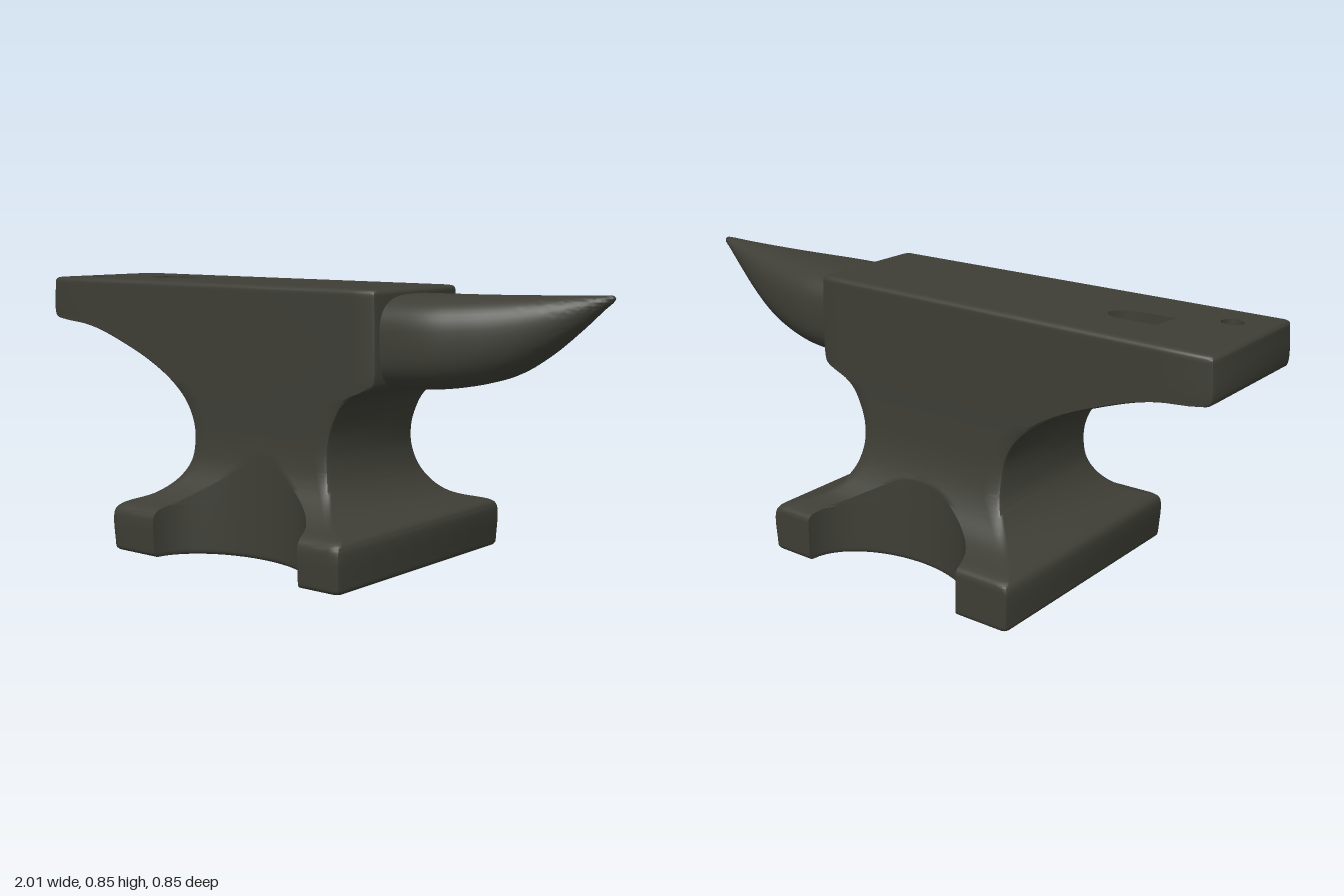
import * as THREE from 'three';
import { toCreasedNormals } from 'three/addons/utils/BufferGeometryUtils.js';

const HEIGHT = 0.85, BEVEL = 0.014;
const lerp = THREE.MathUtils.lerp, clamp = THREE.MathUtils.clamp;

// Smooth lookup through [position, value] points
function profile(points) {
  const curve = new THREE.CatmullRomCurve3(points.map(([p, v]) => new THREE.Vector3(p, v, 0)), false, 'centripetal');
  const pts = curve.getPoints(points.length * 12);
  return (p) => {
    let i = 1;
    while (i < pts.length - 1 && pts[i].x < p) i++;
    const a = pts[i - 1], b = pts[i];
    return lerp(a.y, b.y, clamp((p - a.x) / Math.max(b.x - a.x, 1e-6), 0, 1));
  };
}

// Skin a list of closed rings, each a list of [x, y, z]
function loft(rings, crease = 0.6) {
  const n = rings[0].length, index = [];
  for (let i = 0; i < rings.length - 1; i++) {
    for (let j = 0; j < n; j++) {
      const k = (j + 1) % n;
      const a = i * n + j, b = i * n + k, c = b + n, d = a + n;
      index.push(a, b, c, a, c, d);
    }
  }
  const geo = new THREE.BufferGeometry();
  geo.setAttribute('position', new THREE.Float32BufferAttribute(rings.flat(2), 3));
  geo.setIndex(index);
  return toCreasedNormals(geo, crease);
}

// Flat horizontal face over a ring, facing up or down
function cap(ring, up, holes = []) {
  const s = up ? -1 : 1;
  const flat = (r) => r.map(([x, , z]) => new THREE.Vector2(x, s * z));
  const shape = new THREE.Shape(flat(ring));
  holes.forEach((h) => shape.holes.push(new THREE.Path(flat(h))));
  return new THREE.ShapeGeometry(shape).rotateX(s * Math.PI / 2).translate(0, ring[0][1], 0);
}

// Body silhouettes by height
const leftX = profile([[0, -0.53], [0.135, -0.53], [0.152, -0.515], [0.178, -0.45], [0.22, -0.397], [0.28, -0.36],
  [0.35, -0.35], [0.41, -0.358], [0.47, -0.388], [0.53, -0.45], [0.59, -0.55], [0.645, -0.68], [0.685, -0.8],
  [0.7, -0.88], [0.709, -0.97], [0.72, -1], [0.85, -1]]);
const rightX = profile([[0, 0.375], [0.135, 0.375], [0.152, 0.36], [0.17, 0.295], [0.2, 0.25], [0.26, 0.208],
  [0.33, 0.19], [0.38, 0.19], [0.43, 0.2], [0.5, 0.235], [0.53, 0.268], [0.555, 0.325], [0.57, 0.35], [0.59, 0.358], [0.85, 0.358]]);
const frontZ = profile([[0, 0.408], [0.13, 0.408], [0.15, 0.39], [0.165, 0.345], [0.19, 0.305], [0.23, 0.265],
  [0.28, 0.24], [0.34, 0.23], [0.45, 0.227], [0.85, 0.227]]);
const backZ = profile([[0, 0.42], [0.135, 0.42], [0.15, 0.405], [0.165, 0.35], [0.185, 0.3], [0.22, 0.26],
  [0.28, 0.225], [0.35, 0.205], [0.45, 0.197], [0.85, 0.195]]);

// One side of a body section, left to right, with the arch between the feet cut away
function sideEdge(y, depth, archDepth, inset) {
  const x0 = leftX(y) + inset, x1 = rightX(y) - inset, mid = -0.06, radius = 0.29;
  const u = clamp((0.42 - depth) / archDepth, 0, 1);
  const half = Math.max(radius * Math.sqrt(1 - u * u), 0.02);
  const arch = (x) => 0.42 - archDepth * Math.sqrt(Math.max(0, 1 - ((x - mid) / radius) ** 2));
  const z = (x) => Math.min(depth, arch(x)) - inset;
  const pts = [[x0, depth - inset - BEVEL], [x0 + BEVEL * 0.3, depth - inset - BEVEL * 0.3]];
  const add = (x) => pts.push([x, z(x)]);
  for (let i = 0; i < 6; i++) add(lerp(x0 + BEVEL, mid - half, i / 6));
  for (let i = 0; i < 24; i++) add(mid - half * Math.cos(Math.PI * i / 24));
  for (let i = 0; i <= 6; i++) add(lerp(mid + half, x1 - BEVEL, i / 6));
  pts.push([x1 - BEVEL * 0.3, depth - inset - BEVEL * 0.3], [x1, depth - inset - BEVEL]);
  return pts;
}

function bodyRing(y) {
  const edge = Math.max(0, BEVEL - Math.min(y, HEIGHT - y));
  const inset = BEVEL - Math.sqrt(BEVEL * BEVEL - edge * edge);
  const front = sideEdge(y, frontZ(y), 0.19, inset).map(([x, z]) => [x, y, z - 0.027 * x]);
  const back = sideEdge(y, backZ(y), 0.195, inset).map(([x, z]) => [x, y, -z]);
  return [...front, ...back.reverse()];
}

// Horn silhouettes along x
const hornWidth = profile([[0.34, 0.176], [0.5, 0.17], [0.6, 0.147], [0.7, 0.117], [0.8, 0.083], [0.9, 0.046], [0.97, 0.021], [0.99, 0.013], [1, 0.002]]);
const hornBottom = profile([[0.34, 0.553], [0.5, 0.564], [0.6, 0.582], [0.7, 0.614], [0.8, 0.672], [0.9, 0.75], [0.97, 0.812], [0.99, 0.828], [1, 0.84]]);
const hornTop = profile([[0.34, 0.833], [0.6, 0.837], [0.9, 0.846], [0.98, 0.849], [0.993, 0.848], [1, 0.842]]);

function hornRing(x) {
  const t = (x - 0.34) / 0.66, w = hornWidth(x), lo = hornBottom(x), hi = hornTop(x);
  const centre = lerp(0.022, 0.004, t), mid = lerp(lo, hi, 0.52), power = 2 / lerp(3.1, 2, t);
  const round = (v) => Math.sign(v) * Math.abs(v) ** power;
  return Array.from({ length: 48 }, (_, i) => {
    const a = i / 48 * Math.PI * 2, c = round(Math.cos(a));
    return [x, mid + c * (c > 0 ? hi - mid : mid - lo), centre + w * round(Math.sin(a))];
  });
}

export function createModel() {
  const group = new THREE.Group();
  const iron = new THREE.MeshStandardMaterial({ color: 0x3e3e36 });
  iron.name = 'darkIron';
  const add = (name, geo, parent = group) => {
    const mesh = new THREE.Mesh(geo, iron);
    mesh.name = name;
    parent.add(mesh);
  };

  // Body: base feet, waist, heel and face block
  const ys = [0, 0.002, 0.005, 0.009];
  for (let i = 0; i <= 120; i++) ys.push(lerp(BEVEL, HEIGHT - BEVEL, i / 120));
  ys.push(...[0.009, 0.005, 0.002, 0].map((d) => HEIGHT - d));
  const rings = ys.map(bodyRing);
  add('body', loft(rings));
  add('baseUnderside', cap(rings[0], false));

  // Holes sunk into the face
  const hardyHole = [[-0.745, 0.06], [-0.66, 0.058], [-0.6, 0.048], [-0.572, 0.03], [-0.56, 0.002],
    [-0.575, -0.02], [-0.605, -0.036], [-0.735, -0.032]];
  const roundHole = Array.from({ length: 16 }, (_, i) => {
    const a = i / 16 * Math.PI * 2;
    return [-0.885 + 0.034 * Math.cos(a), 0.125 - 0.03 * Math.sin(a)];
  });
  const holes = { hardyHole, roundHole };
  const outlines = Object.values(holes).map((h) => h.map(([x, z]) => [x, HEIGHT, z]));
  add('face', cap(rings[rings.length - 1], true, outlines));
  Object.keys(holes).forEach((name, i) => {
    const pocket = new THREE.Group();
    pocket.name = name;
    const floor = outlines[i].map(([x, y, z]) => [x, y - 0.05, z]);
    add(name + 'Wall', loft([outlines[i], floor]), pocket);
    add(name + 'Floor', cap(floor, true), pocket);
    group.add(pocket);
  });

  // Horn tapering to a rounded tip
  const hornRings = [];
  for (let i = 0; i <= 48; i++) hornRings.push(hornRing(0.34 + 0.66 * Math.sin(i / 48 * Math.PI / 2)));
  add('horn', loft(hornRings, 0.9));

  return group;
}
